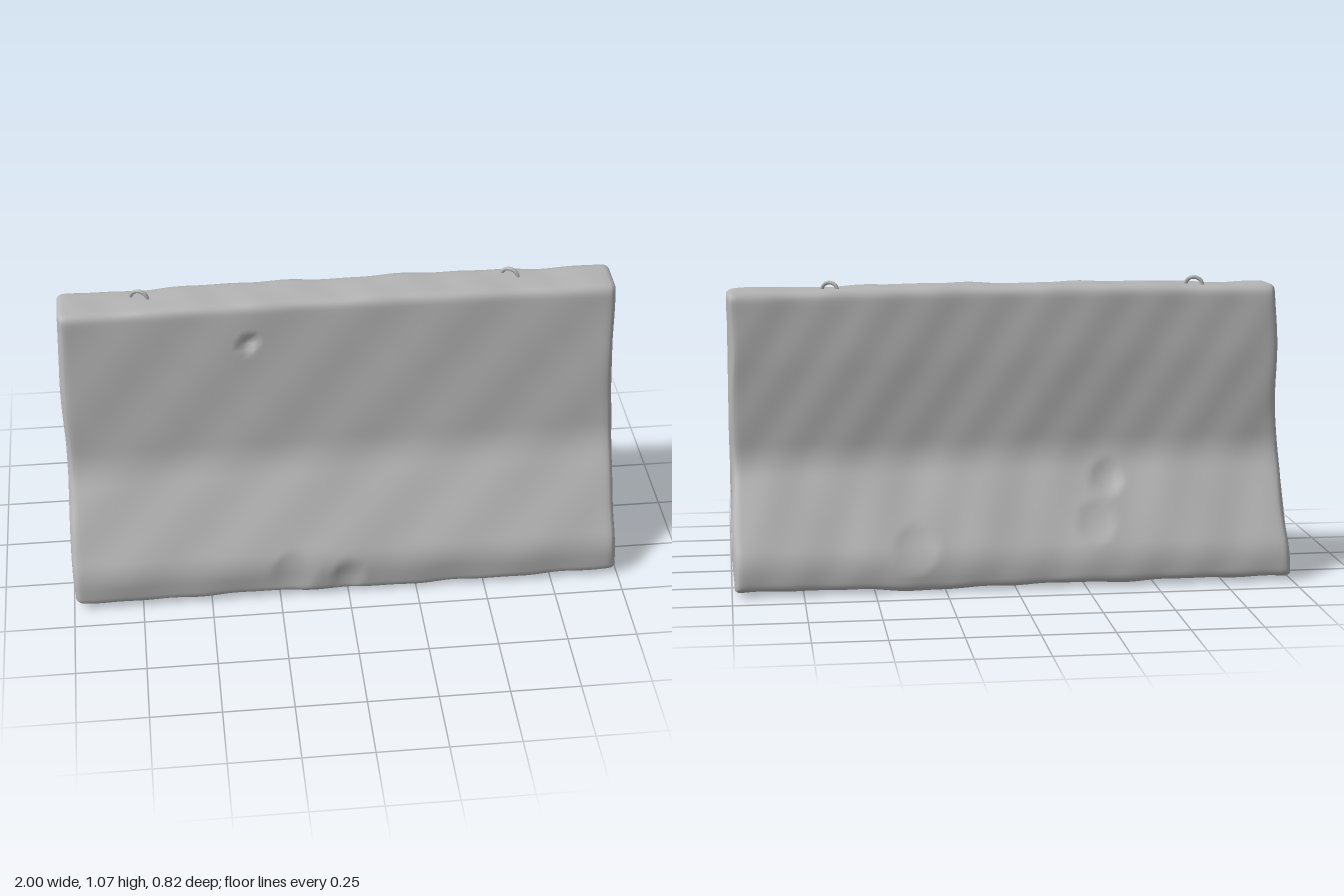
import * as THREE from 'three';

const concrete = new THREE.MeshStandardMaterial({ color: 0xb4b4b4 });
concrete.name = 'concrete';

// Cross-section corners going up the front and down the back: z, y, fillet
const CORNERS = [
  [0.408, 0.018, 0.03], [0.402, 0.135, 0.05], [0.178, 0.465, 0.06], [0.112, 0.79, 0.05], [0.062, 1.038, 0.035],
  [-0.118, 1.038, 0.04], [-0.15, 0.8, 0.05], [-0.178, 0.44, 0.06], [-0.392, 0.115, 0.05], [-0.403, 0.018, 0.03],
];

// Chips and hollows: x, y, side of the barrier, radius, depth
const DENTS = [
  [-0.325, 0.9, 1, 0.032, 0.025], [-0.35, 0.36, -1, 0.06, 0.015], [-0.2, 0.1, 1, 0.08, 0.012],
  [0.0, 0.08, 1, 0.06, 0.012], [-0.3, 0.22, -1, 0.07, 0.01], [0.35, 0.15, -1, 0.08, 0.01],
];

// Rounded, evenly divided outline of the cross-section
function outline() {
  const pts = [];
  const P = CORNERS.map(([z, y]) => new THREE.Vector2(z, y));
  const n = P.length;
  const toward = (i, j, d) => P[i].clone().add(P[j].clone().sub(P[i]).setLength(d));
  for (let i = 0; i < n; i++) {
    const next = (i + 1) % n, prev = (i + n - 1) % n;
    const end = toward(i, next, CORNERS[i][2]);
    pts.push(...new THREE.QuadraticBezierCurve(toward(i, prev, CORNERS[i][2]), P[i], end).getPoints(6));
    const stop = toward(next, i, CORNERS[next][2]);
    const steps = Math.max(2, Math.ceil(end.distanceTo(stop) / 0.02));
    for (let k = 1; k < steps; k++) pts.push(end.clone().lerp(stop, k / steps));
  }
  return pts;
}

// Gentle unevenness of the worn surface
function wear(x, y, z) {
  let d = 0.0022 * Math.sin(9 * x + 5 * y + 4 * z) + 0.002 * Math.sin(17 * x - 13 * y + 11 * z)
    + 0.0013 * Math.sin(31 * x + 23 * y - 19 * z);
  for (const [cx, cy, side, r, depth] of DENTS) {
    const q = ((x - cx) ** 2 + (y - cy) ** 2) / (r * r);
    if (z * side > 0 && q < 1) d -= depth * (1 - q);
  }
  return d;
}

// Body: rings along x, with rounded ends
function barrierGeometry() {
  const pts = outline(), m = pts.length;
  const normals = pts.map((p, j) => {
    const t = pts[(j + 1) % m].clone().sub(pts[(j + m - 1) % m]).normalize();
    return new THREE.Vector2(t.y, -t.x);
  });
  const R = 0.035, L = 0.995, stations = [];
  const arc = [0, 1, 2, 3, 4, 5].map(k => (k / 6) * Math.PI / 2);
  for (const a of arc) stations.push([-L + 0.8 * R * (1 - Math.cos(a)), R * (1 - Math.sin(a))]);
  for (let k = 0; k <= 100; k++) stations.push([(L - R) * (k / 50 - 1), 0]);
  for (const a of [...arc].reverse()) stations.push([L - 0.8 * R * (1 - Math.cos(a)), R * (1 - Math.sin(a))]);

  const pos = [], idx = [];
  for (const [x, inset] of stations) {
    pts.forEach((p, j) => {
      const nz = normals[j].x, ny = normals[j].y;
      const d = wear(x, p.y, p.x);
      const z = p.x + nz * (d - inset);
      let y = p.y + ny * (d - inset * 0.45);
      y += 0.01 * (1 - x * x) * p.y; // slight crown along the top
      if (p.y < 0.05) y -= 0.009 * Math.exp(-(((x - 0.28) / 0.3) ** 2)); // sagging underside
      const endWave = 0.004 * Math.sin(14 * y + 6 * z) * Math.max(0, Math.abs(x) - 0.9) * 10;
      pos.push(x + endWave, y, z);
    });
  }
  const last = stations.length - 1;
  for (let i = 0; i < last; i++) {
    for (let j = 0; j < m; j++) {
      const a = i * m + j, b = i * m + (j + 1) % m;
      idx.push(a, a + m, b + m, a, b + m, b);
    }
  }
  // End faces
  for (const [ring, flip] of [[0, false], [last, true]]) {
    const o = ring * m;
    const contour = pts.map((p, j) => new THREE.Vector2(pos[(o + j) * 3 + 2], pos[(o + j) * 3 + 1]));
    for (const [a, b, c] of THREE.ShapeUtils.triangulateShape(contour, [])) {
      if (flip) idx.push(o + a, o + c, o + b);
      else idx.push(o + a, o + b, o + c);
    }
  }
  const g = new THREE.BufferGeometry();
  g.setAttribute('position', new THREE.Float32BufferAttribute(pos, 3));
  g.setIndex(idx);
  g.computeVertexNormals();
  return g;
}

// Lifting loop: a bent bar set into the top
function liftingLoop(x, z, turn) {
  const path = new THREE.CatmullRomCurve3([
    [-0.033, -0.03], [-0.033, 0.005], [-0.023, 0.027], [0, 0.036], [0.023, 0.027], [0.033, 0.005], [0.033, -0.03],
  ].map(([px, py]) => new THREE.Vector3(px, py, 0)));
  const loop = new THREE.Mesh(new THREE.TubeGeometry(path, 28, 0.007, 8), concrete);
  loop.position.set(x, 1.03, z);
  loop.rotation.y = turn;
  return loop;
}

export function createModel() {
  const model = new THREE.Group();
  model.name = 'concreteBarrier';

  const body = new THREE.Mesh(barrierGeometry(), concrete);
  body.name = 'barrierBody';
  model.add(body);

  const rightLoop = liftingLoop(-0.7, -0.045, -0.38);
  rightLoop.name = 'rightLiftingLoop';
  const leftLoop = liftingLoop(0.63, -0.058, -0.55);
  leftLoop.name = 'leftLiftingLoop';
  model.add(rightLoop, leftLoop);
  return model;
}
